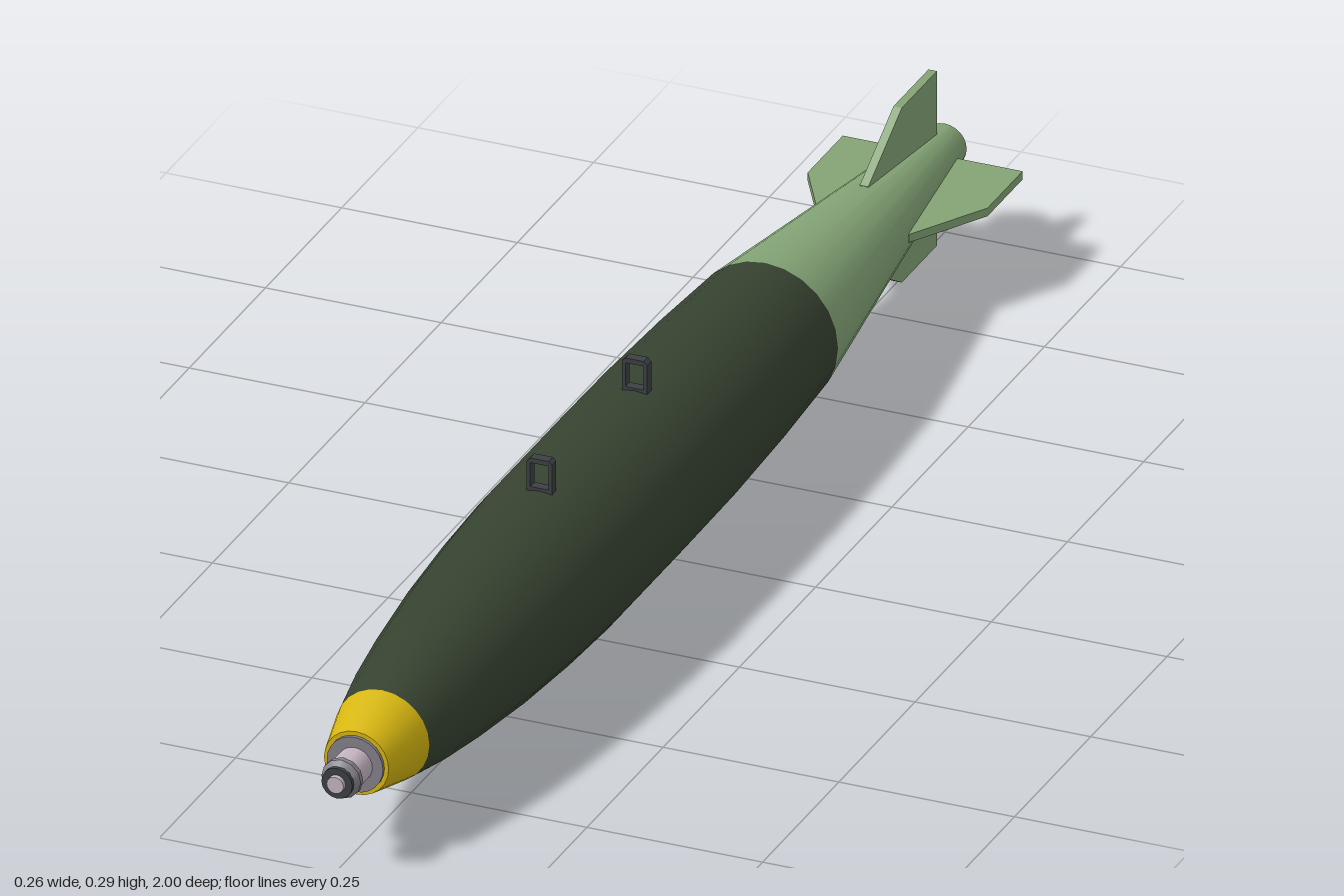
import * as THREE from 'three';
import { toCreasedNormals } from 'three/addons/utils/BufferGeometryUtils.js';

const AXIS_Y = 0.129;

const mat = (name, color) => {
  const m = new THREE.MeshStandardMaterial({ color });
  m.name = name;
  return m;
};

// Turned part along z; profile is [z, radius] from back to front
function turned(profile, segments = 24) {
  const g = new THREE.LatheGeometry(profile.map(([z, r]) => new THREE.Vector2(r, z)), segments);
  g.rotateX(Math.PI / 2);
  return toCreasedNormals(g, 0.5);
}

export function createModel() {
  const darkGreen = mat('dark green', 0x364230);
  const paleGreen = mat('pale green', 0x83a375);
  const yellow = mat('yellow', 0xd6b610);
  const silver = mat('pale silver', 0xc4b4c2);
  const grey = mat('mid grey', 0x85808a);
  const darkGrey = mat('dark grey', 0x3c4143);

  const model = new THREE.Group();
  const add = (name, geometry, material, parent = model) => {
    const mesh = new THREE.Mesh(geometry, material);
    mesh.name = name;
    parent.add(mesh);
    return mesh;
  };

  const shell = new THREE.Group();
  shell.name = 'shell';
  shell.position.y = AXIS_Y;
  model.add(shell);

  // Hull, tail cone and nose band
  add('hull', turned([
    [-0.41, 0.104], [-0.25, 0.112], [-0.08, 0.117], [0.06, 0.118], [0.3, 0.118],
    [0.42, 0.114], [0.55, 0.106], [0.68, 0.093], [0.77, 0.081], [0.845, 0.067],
  ]), darkGreen, shell);
  add('tailCone', turned([[-1, 0], [-1, 0.031], [-0.41, 0.104]]), paleGreen, shell);
  add('noseBand', turned([[0.845, 0.067], [0.93, 0.046], [0.93, 0]]), yellow, shell);

  // Nose fitting: washer, neck, flared collar and centre pin
  add('noseWasher', turned([[0.925, 0.04], [0.935, 0.04], [0.935, 0]]), grey, shell);
  add('noseNeck', turned([[0.93, 0.025], [0.975, 0.025], [0.975, 0]]), silver, shell);
  add('noseCollar', turned([[0.972, 0], [0.972, 0.028], [0.98, 0.028], [0.99, 0.021], [0.99, 0]], 12), grey, shell);
  add('noseRing', turned([[0.985, 0.022], [0.994, 0.022], [0.994, 0.012]], 16), darkGrey, shell);
  add('nosePin', turned([[0.985, 0.013], [1, 0.012], [1, 0]], 16), silver, shell);

  // Four tail fins, outlined as (z, radius)
  const outline = new THREE.Shape([
    [-0.735, 0.055], [-0.735, 0.064], [-0.845, 0.128], [-0.96, 0.128], [-0.96, 0.025],
  ].map(([z, r]) => new THREE.Vector2(-z, r)));
  const finGeometry = new THREE.ExtrudeGeometry(outline, { depth: 0.012, bevelEnabled: false });
  finGeometry.translate(0, 0, -0.006).rotateY(Math.PI / 2);
  for (let i = 0; i < 4; i++) {
    add('tailFin', finGeometry, paleGreen, shell).rotation.z = i * Math.PI / 2;
  }

  // Two suspension lugs: chamfered loops on top of the hull
  const loop = new THREE.Shape([
    [-0.018, 0.24], [0.018, 0.24], [0.018, 0.287], [0.013, 0.292], [-0.013, 0.292], [-0.018, 0.287],
  ].map(p => new THREE.Vector2(...p)));
  loop.holes.push(new THREE.Path([
    [-0.013, 0.25], [-0.013, 0.285], [0.013, 0.285], [0.013, 0.25],
  ].map(p => new THREE.Vector2(...p))));
  const lugGeometry = new THREE.ExtrudeGeometry(loop, { depth: 0.014, bevelEnabled: false });
  lugGeometry.translate(0, 0, -0.007);
  for (const z of [0.323, 0.011]) add('lug', lugGeometry, darkGrey).position.z = z;

  return model;
}
